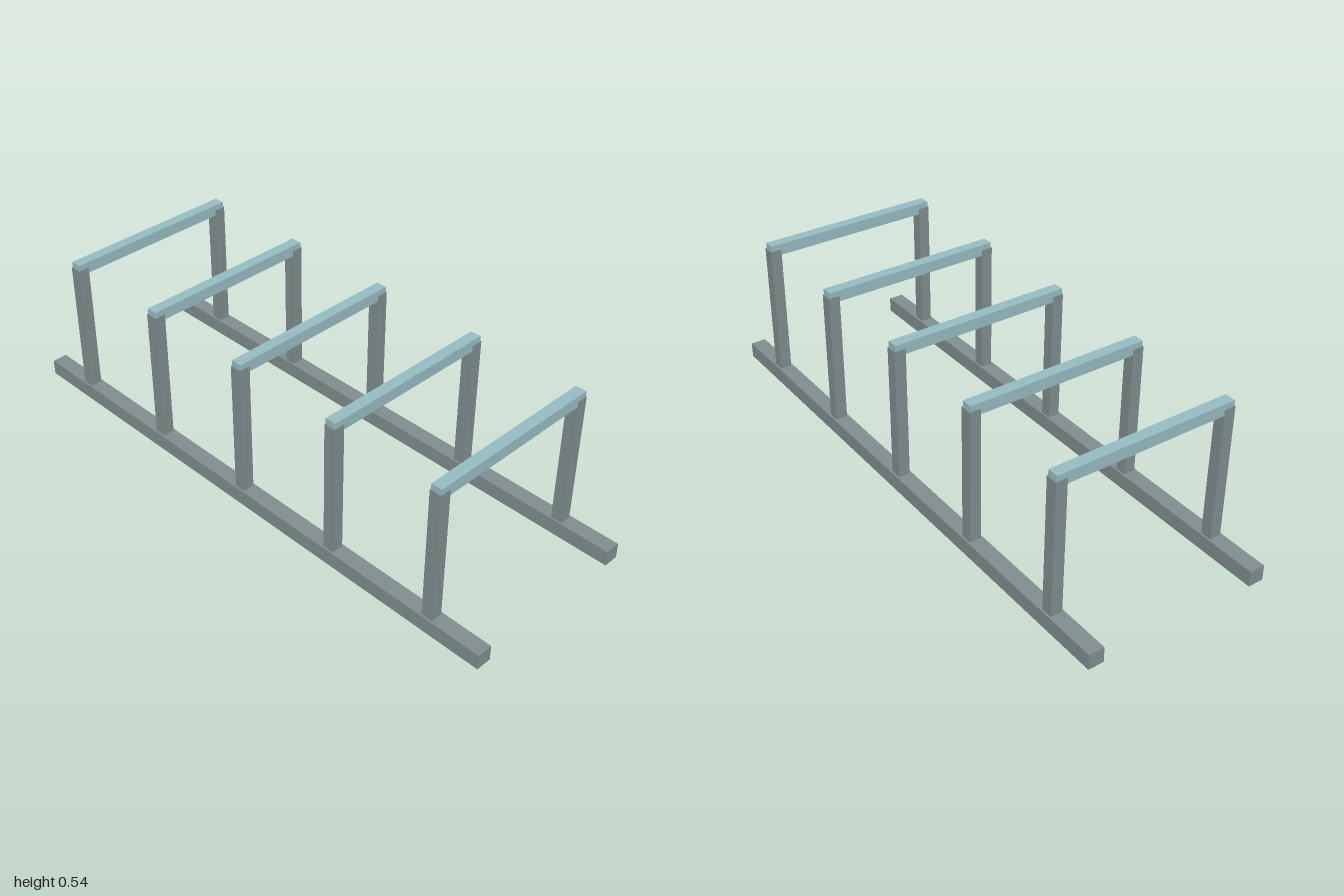
import * as THREE from 'three';

export function createModel() {
  const model = new THREE.Group();
  model.name = 'hoopRack';

  const steelGrey = new THREE.MeshStandardMaterial({ color: 0x7f8c8d });
  steelGrey.name = 'steelGrey';
  const paleTeal = new THREE.MeshStandardMaterial({ color: 0x95bbc2 });
  paleTeal.name = 'paleTeal';

  const sideZ = 0.301;      // centre line of each rail
  const railSize = 0.054;
  const postSize = 0.04;
  const postTop = 0.521;

  const addBox = (parent, name, size, position, material) => {
    const mesh = new THREE.Mesh(new THREE.BoxGeometry(...size), material);
    mesh.name = name;
    mesh.position.set(...position);
    parent.add(mesh);
  };

  // Ground rails
  for (const [name, s] of [['frontRail', 1], ['backRail', -1]]) {
    addBox(model, name, [2, railSize, railSize], [0, railSize / 2, s * sideZ], steelGrey);
  }

  // Five hoops: two posts joined by a crossbar
  for (let i = 0; i < 5; i++) {
    const hoop = new THREE.Group();
    hoop.name = `hoop${i + 1}`;
    hoop.position.x = (i - 2) * 0.4;
    for (const [name, s] of [['frontPost', 1], ['backPost', -1]]) {
      const height = postTop - railSize;
      addBox(hoop, name, [postSize, height, postSize], [0, railSize + height / 2, s * sideZ], steelGrey);
    }
    // Slightly narrower than the posts, so their tops wrap its ends
    addBox(hoop, 'crossbar', [0.038, 0.04, 0.634], [0, 0.521, 0], paleTeal);
    model.add(hoop);
  }

  return model;
}
